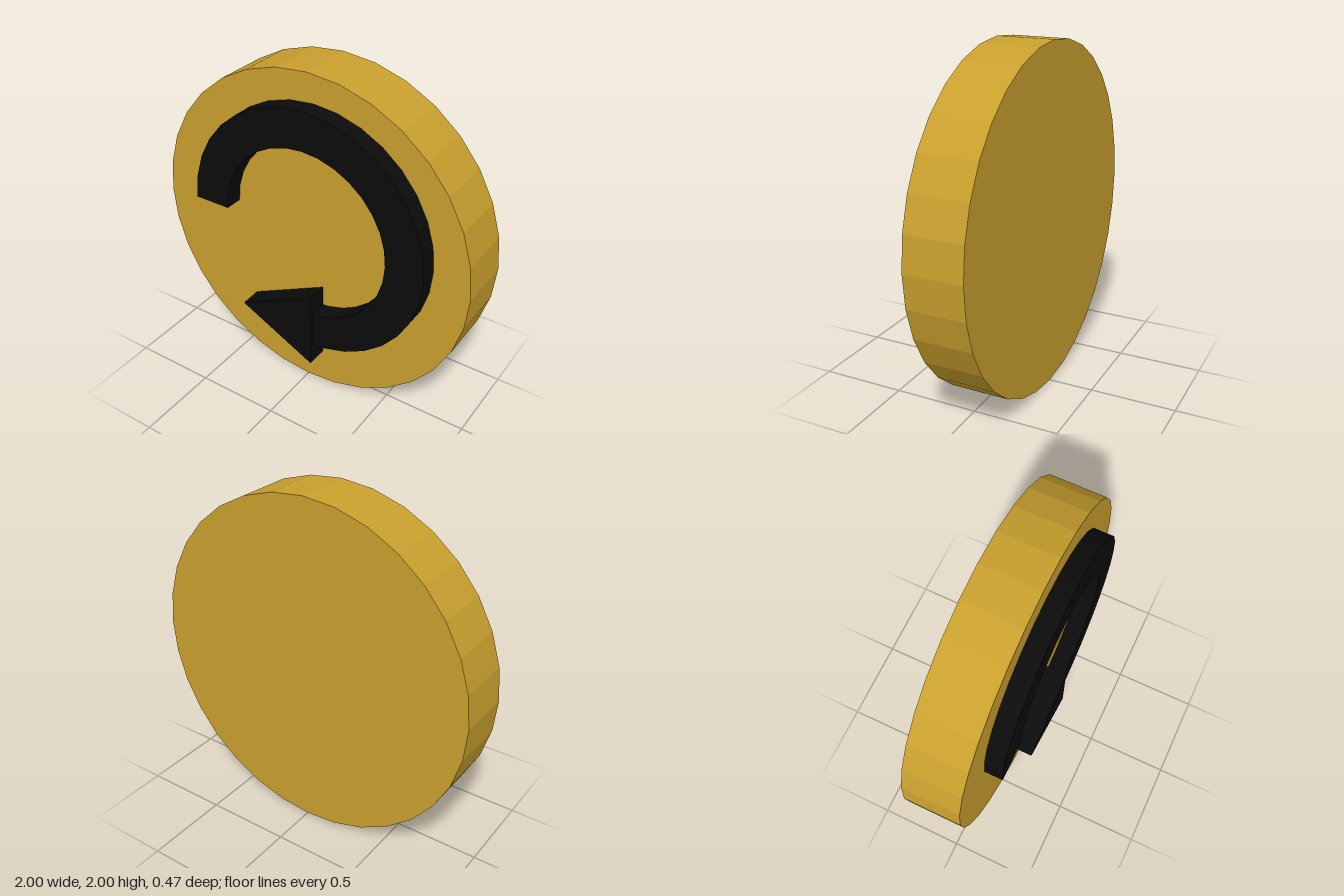
import * as THREE from 'three';

const FRONT = 0.103; // front face of the disc
const BACK = -0.234;

// Flat outline in the xy plane, raised from the disc face up to z = top
function raised(name, shape, top, material) {
  const geometry = new THREE.ExtrudeGeometry(shape, {
    depth: top - FRONT, bevelEnabled: false, curveSegments: 12,
  });
  geometry.translate(0, 0, FRONT);
  const mesh = new THREE.Mesh(geometry, material);
  mesh.name = name;
  return mesh;
}

export function createModel() {
  const group = new THREE.Group();
  group.name = 'arrowDisc';
  const gold = new THREE.MeshStandardMaterial({ color: 0xc9a02e, flatShading: true });
  const black = new THREE.MeshStandardMaterial({ color: 0x0b0b0b });

  // Thick 32-sided disc standing on its rim
  const discGeometry = new THREE.CylinderGeometry(1, 1, FRONT - BACK, 32);
  discGeometry.rotateX(Math.PI / 2);
  const disc = new THREE.Mesh(discGeometry, gold);
  disc.name = 'disc';
  disc.position.set(0, 1, (FRONT + BACK) / 2);
  group.add(disc);

  // Three-quarter ring, clockwise from the left to the bottom
  const cx = 0.04, cy = 1.095;
  const arc = new THREE.Shape();
  arc.absarc(cx, cy, 0.743, Math.PI, -Math.PI / 2, true);
  arc.absarc(cx, cy, 0.518, -Math.PI / 2, Math.PI, false);
  arc.closePath();
  group.add(raised('arrowShaft', arc, 0.211, black));

  // Triangular head, slightly thicker than the shaft
  const head = new THREE.Shape([
    new THREE.Vector2(-0.38, 0.47),
    new THREE.Vector2(0.105, 0.228),
    new THREE.Vector2(0.105, 0.71),
  ]);
  group.add(raised('arrowHead', head, 0.234, black));

  return group;
}
